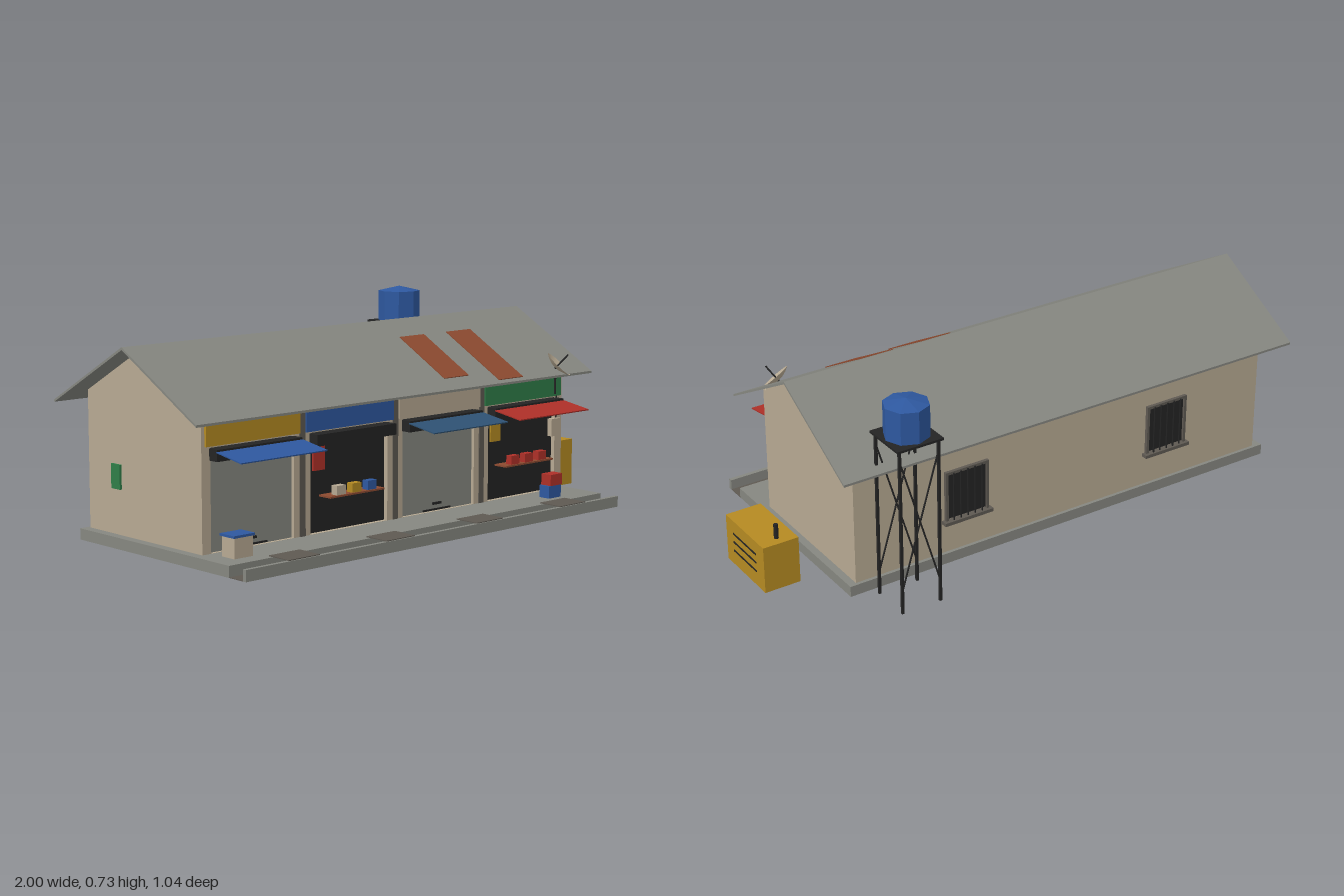
import * as THREE from 'three';

const mat = (name, color) => {
  const m = new THREE.MeshStandardMaterial({ color });
  m.name = name;
  return m;
};

export function createModel() {
  const wall = mat('plaster', 0xb7a992);
  wall.side = THREE.DoubleSide;
  const concrete = mat('concreteGrey', 0x868780);
  const dark = mat('charcoal', 0x242424);
  const blue = mat('blue', 0x2e589f);
  const yellow = mat('ochre', 0xb58a22);
  const red = mat('red', 0xae3028);
  const green = mat('green', 0x2f7d48);
  const rust = mat('rust', 0x8c4a30);
  const navy = mat('faded navy', 0x2e5274);
  const drain = mat('drainGrey', 0x5e5952);

  const model = new THREE.Group();
  model.name = 'shopRow';
  const add = (name, geo, material, x = 0, y = 0, z = 0, parent = model) => {
    const m = new THREE.Mesh(geo, material);
    m.name = name;
    m.position.set(x, y, z);
    parent.add(m);
    return m;
  };
  // box given by its min and max on each axis
  const box = (name, material, x0, x1, y0, y1, z0, z1, parent) =>
    add(name, new THREE.BoxGeometry(x1 - x0, y1 - y0, z1 - z0), material,
      (x0 + x1) / 2, (y0 + y1) / 2, (z0 + z1) / 2, parent);
  // round bar between two points
  const rod = (name, material, a, b, r, parent) => {
    const p = new THREE.Vector3(...a), q = new THREE.Vector3(...b);
    const d = q.clone().sub(p);
    const m = add(name, new THREE.CylinderGeometry(r, r, d.length(), 6), material, 0, 0, 0, parent);
    m.position.copy(p).add(q).multiplyScalar(0.5);
    m.quaternion.setFromUnitVectors(new THREE.Vector3(0, 1, 0), d.normalize());
    return m;
  };
  // (z, y) outline extruded along x
  const alongX = (name, material, pts, x0, x1) => {
    const shape = new THREE.Shape(pts.map(p => new THREE.Vector2(...p)));
    const geo = new THREE.ExtrudeGeometry(shape, { depth: x1 - x0, bevelEnabled: false });
    geo.rotateY(-Math.PI / 2);
    return add(name, geo, material, x1);
  };

  // ground slab and open drain
  box('slab', concrete, -0.953, 0.777, 0, 0.038, -0.33, 0.44);
  box('drainFloor', drain, -0.953, 0.777, 0, 0.002, 0.44, 0.505);
  box('drainKerb', concrete, -0.953, 0.777, 0, 0.038, 0.505, 0.52);

  // gabled body, then a front wall with four openings
  const X0 = -0.92, X1 = 0.75, PITCH = (X1 - X0) / 4, HALF = 0.173;
  const centers = [0, 1, 2, 3].map(i => X0 + PITCH * (i + 0.5));
  alongX('body', wall,
    [[0.25, 0.038], [0.25, 0.511], [-0.025, 0.662], [-0.318, 0.5], [-0.318, 0.038]].reverse(), X0, X1);
  const front = new THREE.Shape();
  front.moveTo(X0, 0.038).lineTo(X1, 0.038).lineTo(X1, 0.5).lineTo(X0, 0.5).closePath();
  for (const c of centers) {
    const hole = new THREE.Path();
    hole.moveTo(c - HALF, 0.0385).lineTo(c - HALF, 0.375).lineTo(c + HALF, 0.375)
      .lineTo(c + HALF, 0.0385).closePath();
    front.holes.push(hole);
  }
  add('frontWall', new THREE.ExtrudeGeometry(front, { depth: 0.02, bevelEnabled: false }), wall, 0, 0, 0.25);

  // roof sheets
  alongX('roof', concrete, [[0.345, 0.467], [-0.025, 0.673], [-0.396, 0.467],
    [-0.396, 0.459], [-0.025, 0.664], [0.345, 0.459]], -1, 0.825);
  const slope = Math.atan2(0.206, 0.37);
  for (const [x, w, z0, z1] of [[0.188, 0.118, 0.07, 0.29], [0.418, 0.12, 0.07, 0.33]]) {
    const z = (z0 + z1) / 2;
    add('rustPatch', new THREE.BoxGeometry(w, 0.004, (z1 - z0) / Math.cos(slope)), rust,
      x, 0.674 - 0.557 * (z + 0.025), z).rotation.x = slope;
  }

  // shop bays
  const bays = [
    { sign: yellow, awning: blue },
    { sign: blue, goods: [wall, yellow, blue], cloth: red },
    { sign: wall, awning: navy },
    { sign: green, awning: red, goods: [red, red, red], cloth: yellow },
  ];
  bays.forEach((b, i) => {
    const c = centers[i];
    const bay = new THREE.Group();
    bay.name = 'bay' + (i + 1);
    bay.position.x = c;
    model.add(bay);
    box('signBoard', b.sign, -0.196, 0.196, 0.38, 0.463, 0.27, 0.278, bay);
    box('shutterBox', dark, -0.177, 0.177, 0.335, 0.373, 0.262, 0.309, bay);
    if (b.awning) {
      add('awning', new THREE.BoxGeometry(0.356, 0.004, 0.122), b.awning, 0, 0.355, 0.366, bay)
        .rotation.x = Math.atan2(0.02, 0.12);
    }
    if (b.goods) {
      box('darkInterior', dark, -HALF, HALF, 0.038, 0.375, 0.25, 0.254, bay);
      box('shelf', rust, -0.122, 0.122, 0.157, 0.163, 0.254, 0.311, bay);
      b.goods.forEach((g, k) => {
        const x = (k - 1) * 0.07;
        box('goods', g, x - 0.02, x + 0.02, 0.163, 0.194, 0.28, 0.306, bay);
      });
      box('hangingCloth', b.cloth, -0.158, -0.108, 0.247, 0.335, 0.262, 0.268, bay);
    } else {
      box('shutter', concrete, -HALF, HALF, 0.038, 0.375, 0.25, 0.258, bay);
      box('shutterHandle', dark, -0.02, 0.02, 0.06, 0.068, 0.258, 0.264, bay);
      box('shutterRail', dark, -0.066, 0.066, 0.04, 0.046, 0.258, 0.262, bay);
    }
    box('drainCover', drain, -0.064, 0.064, 0.038, 0.041, 0.42, 0.515, bay);
    if (i) box('bayDivider', drain, -PITCH / 2 - 0.012, -PITCH / 2 + 0.012, 0.038, 0.463, 0.27, 0.273, bay);
  });

  // cool box and stacked crates on the walkway
  box('coolBox', wall, -0.883, -0.807, 0.038, 0.104, 0.322, 0.382);
  box('coolBoxLid', blue, -0.888, -0.802, 0.104, 0.112, 0.317, 0.386);
  box('lowerCrate', blue, 0.562, 0.624, 0.038, 0.082, 0.34, 0.385);
  box('upperCrate', red, 0.57, 0.63, 0.082, 0.122, 0.34, 0.385);

  // meter box and conduit
  box('meterBox', wall, 0.677, 0.723, 0.237, 0.3, 0.27, 0.29);
  rod('conduit', dark, [0.716, 0.3, 0.275], [0.716, 0.385, 0.275], 0.003);

  // satellite dish
  const n = new THREE.Vector3(0.42, 0.73, 0.54).normalize();
  rod('dishMast', dark, [0.67, 0.395, 0.31], [0.67, 0.492, 0.31], 0.004);
  const dishProfile = [[0, 0], [0.02, 0.002], [0.04, 0.009], [0.056, 0.018]].map(p => new THREE.Vector2(...p));
  add('dish', new THREE.LatheGeometry(dishProfile, 12), wall, 0.67, 0.489, 0.311)
    .quaternion.setFromUnitVectors(new THREE.Vector3(0, 1, 0), n);
  rod('dishFeed', dark, [0.67, 0.489, 0.311], [0.698, 0.537, 0.346], 0.003);

  // barred windows on the back wall
  for (const c of [0.32, -0.51]) {
    const w = new THREE.Group();
    w.name = 'backWindow';
    w.position.x = c;
    model.add(w);
    box('pane', dark, -0.075, 0.075, 0.165, 0.335, -0.322, -0.318, w);
    for (const s of [-1, 1]) box('jamb', drain, s * 0.08 - 0.005, s * 0.08 + 0.005, 0.16, 0.34, -0.33, -0.318, w);
    box('head', drain, -0.085, 0.085, 0.335, 0.345, -0.33, -0.318, w);
    box('sill', drain, -0.095, 0.095, 0.15, 0.162, -0.342, -0.318, w);
    for (let k = -2; k <= 2; k++) rod('bar', dark, [k * 0.028, 0.16, -0.332], [k * 0.028, 0.34, -0.332], 0.003, w);
  }

  // small green panel on the end wall
  box('endPanel', green, -0.928, -0.92, 0.19, 0.272, -0.188, -0.142);

  // generator
  box('generator', yellow, 0.867, 0.998, 0, 0.17, -0.155, 0.105);
  for (const y of [0.056, 0.089, 0.121]) box('vent', dark, 0.998, 1, y - 0.003, y + 0.003, -0.102, 0.056);
  rod('exhaust', dark, [0.93, 0.17, -0.12], [0.93, 0.223, -0.12], 0.008);

  // water tank on its tower
  const tower = new THREE.Group();
  tower.name = 'waterTower';
  tower.position.set(0.615, 0, -0.435);
  model.add(tower);
  const L = 0.072;
  for (const z of [-L, L]) {
    for (const s of [-1, 1]) {
      box('leg', dark, s * L - 0.0045, s * L + 0.0045, 0, 0.597, z - 0.0045, z + 0.0045, tower);
      rod('brace', dark, [s * L, 0.08, z], [-s * L, 0.56, z], 0.003, tower);
    }
  }
  box('platform', dark, -0.085, 0.085, 0.597, 0.605, -0.085, 0.085, tower);
  add('tank', new THREE.CylinderGeometry(0.077, 0.077, 0.112, 8).toNonIndexed(), blue, 0, 0.661, 0, tower)
    .geometry.computeVertexNormals();
  add('tankLid', new THREE.ConeGeometry(0.077, 0.017, 8).toNonIndexed(), blue, 0, 0.7255, 0, tower)
    .geometry.computeVertexNormals();

  return model;
}
